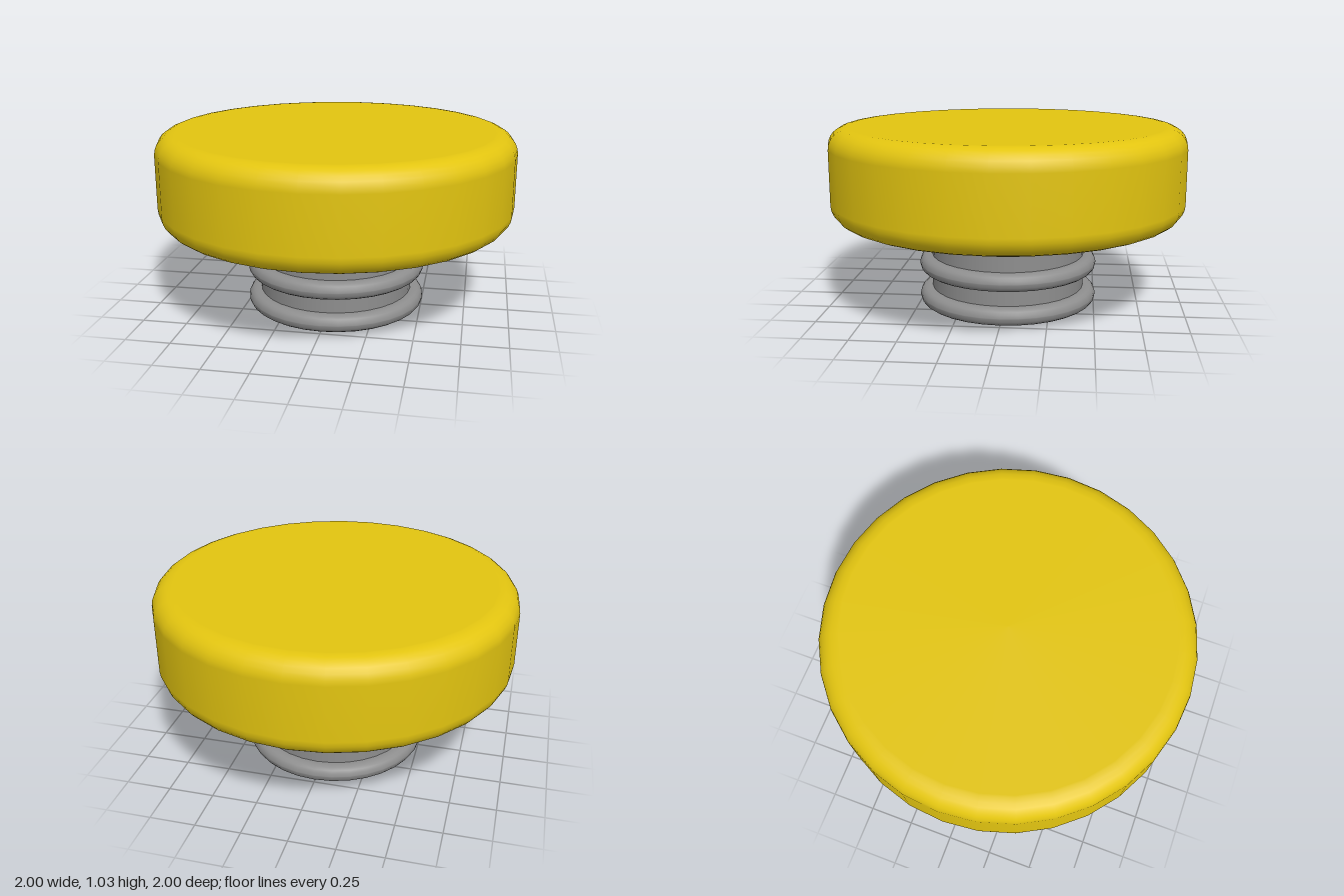
import * as THREE from 'three';

const SIDES = 32;

// Solid disc with rounded rims, turned around the y axis
function roundedDisc(radius, bottom, top, corner, steps) {
  const points = [new THREE.Vector2(0, bottom), new THREE.Vector2(radius - corner - 0.01, bottom)];
  const arc = (cy, start) => {
    for (let i = 0; i <= steps; i++) {
      const a = start + (i / steps) * Math.PI / 2;
      points.push(new THREE.Vector2(radius - corner + corner * Math.cos(a), cy + corner * Math.sin(a)));
    }
  };
  arc(bottom + corner, -Math.PI / 2);
  arc(top - corner, 0);
  points.push(new THREE.Vector2(radius - corner - 0.01, top), new THREE.Vector2(0, top));
  return new THREE.LatheGeometry(points, SIDES);
}

export function createModel() {
  const yellow = new THREE.MeshStandardMaterial({ color: 0xe3c510 });
  yellow.name = 'yellow';
  const grey = new THREE.MeshStandardMaterial({ color: 0x8e8e8e });
  grey.name = 'grey';

  const model = new THREE.Group();
  model.name = 'knob';
  const add = (name, geometry, material) => {
    const mesh = new THREE.Mesh(geometry, material);
    mesh.name = name;
    model.add(mesh);
    return mesh;
  };

  // Wide cap
  add('cap', roundedDisc(1, 0.505, 1.026, 0.11, 6), yellow);

  // Straight neck between the rings
  add('neck', new THREE.CylinderGeometry(0.437, 0.437, 0.47, SIDES), grey).position.y = 0.285;

  // Three rounded sealing rings, the lowest closing the base
  [0, 0.188, 0.38].forEach((y, i) => {
    add('ring' + (i + 1), roundedDisc(0.508, y, y + 0.096, 0.046, 4), grey);
  });

  return model;
}
